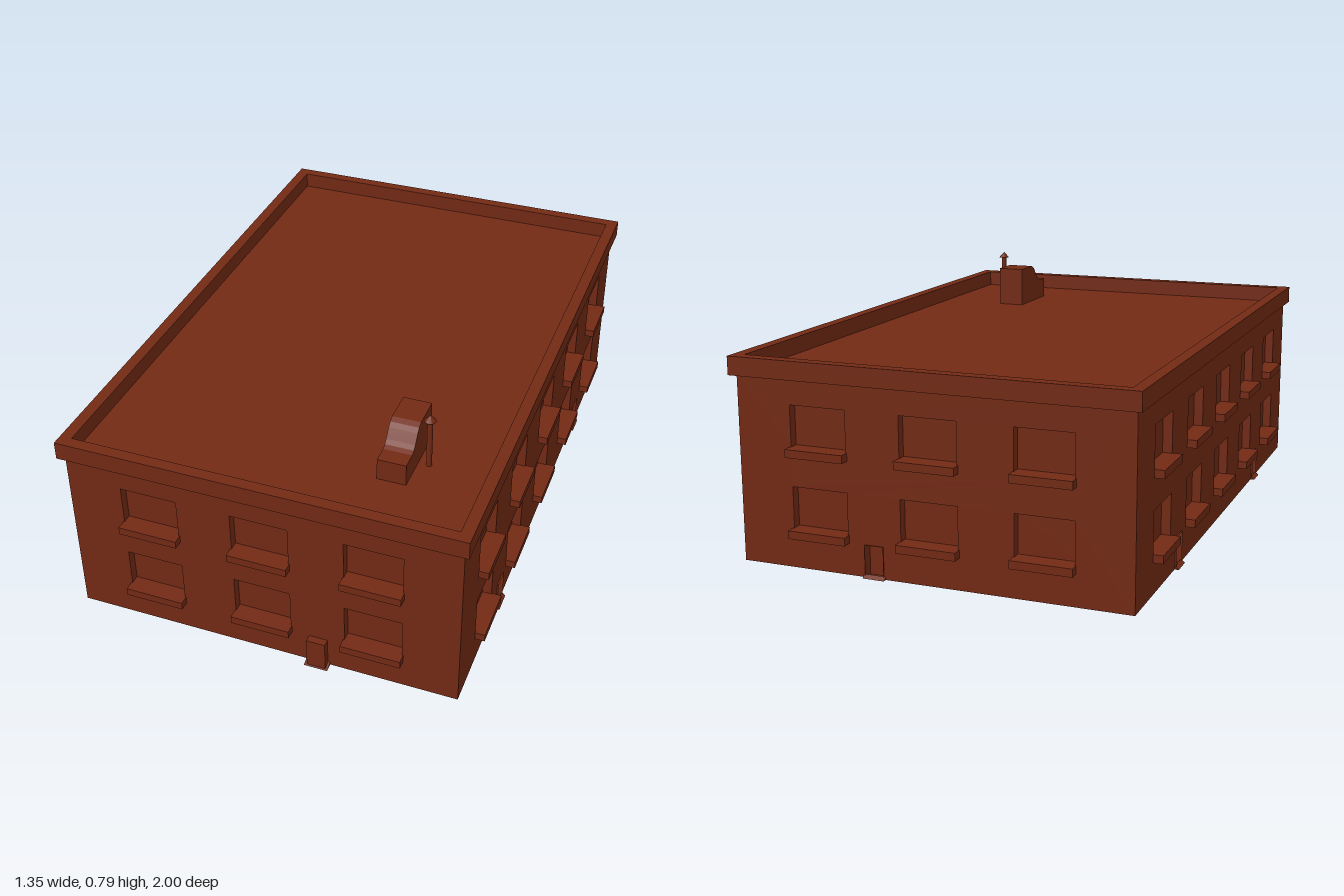
import * as THREE from 'three';

const material = new THREE.MeshStandardMaterial({ color: 0x732a15, side: THREE.DoubleSide, flatShading: true });

const HALF_X = 0.643, HALF_Z = 0.966, ROOF_Y = 0.605;
const WINDOW_ROWS = [{ bottom: 0.128, top: 0.261 }, { bottom: 0.387, top: 0.519 }];
const SILL_HEIGHT = 0.026, SILL_DEPTH = 0.032, RECESS = 0.03;
const DOOR_WIDTH = 0.062, DOOR_HEIGHT = 0.104;

function add(parent, name, geometry, x = 0, y = 0, z = 0) {
  const mesh = new THREE.Mesh(geometry, material);
  mesh.name = name;
  mesh.position.set(x, y, z);
  parent.add(mesh);
  return mesh;
}

// Rectangle outline, usable as a shape or a hole
function rect(PathType, x0, y0, x1, y1) {
  const p = new PathType();
  p.moveTo(x0, y0);
  p.lineTo(x1, y0);
  p.lineTo(x1, y1);
  p.lineTo(x0, y1);
  p.closePath();
  return p;
}

// Box whose outward (+z) face is left open
function openBox(w, h, d) {
  const geometry = new THREE.BoxGeometry(w, h, d);
  const index = Array.from(geometry.index.array);
  index.splice(24, 6);
  geometry.setIndex(index);
  geometry.clearGroups();
  return geometry;
}

// Wedge threshold sloping down and away from the wall
function rampGeometry(width, depth, height) {
  const shape = new THREE.Shape();
  shape.moveTo(0, 0);
  shape.lineTo(depth, 0);
  shape.lineTo(0, height);
  shape.closePath();
  const geometry = new THREE.ExtrudeGeometry(shape, { depth: width, bevelEnabled: false });
  geometry.rotateY(-Math.PI / 2);
  geometry.translate(width / 2, 0, 0);
  return geometry;
}

// One facade in its own frame: x along the wall, +z outward
function buildWall(name, halfWidth, centres, windowWidth, doors, porch = false) {
  const wall = new THREE.Group();
  wall.name = name;

  // Wall outline, notched where recessed doors reach the ground
  const outline = new THREE.Shape();
  outline.moveTo(-halfWidth, 0);
  if (!porch) {
    for (const x of doors) {
      outline.lineTo(x - DOOR_WIDTH / 2, 0);
      outline.lineTo(x - DOOR_WIDTH / 2, DOOR_HEIGHT);
      outline.lineTo(x + DOOR_WIDTH / 2, DOOR_HEIGHT);
      outline.lineTo(x + DOOR_WIDTH / 2, 0);
    }
  }
  outline.lineTo(halfWidth, 0);
  outline.lineTo(halfWidth, ROOF_Y);
  outline.lineTo(-halfWidth, ROOF_Y);
  outline.closePath();

  // Windows: hole, recessed pane with reveals, and projecting sill
  for (const { bottom, top } of WINDOW_ROWS) {
    for (const x of centres) {
      outline.holes.push(rect(THREE.Path, x - windowWidth / 2, bottom, x + windowWidth / 2, top));
      add(wall, 'windowRecess', openBox(windowWidth, top - bottom, RECESS), x, (bottom + top) / 2, -RECESS / 2);
      add(wall, 'windowSill', new THREE.BoxGeometry(windowWidth + 0.008, SILL_HEIGHT, SILL_DEPTH),
        x, bottom - SILL_HEIGHT / 2, SILL_DEPTH / 2);
    }
  }
  add(wall, 'wallFace', new THREE.ShapeGeometry(outline));

  // Doors: either a projecting porch or a recess with a thin surround
  for (const x of doors) {
    if (porch) {
      add(wall, 'porch', new THREE.BoxGeometry(DOOR_WIDTH, DOOR_HEIGHT, 0.034), x, DOOR_HEIGHT / 2, 0.007);
      add(wall, 'threshold', rampGeometry(DOOR_WIDTH + 0.016, 0.03, 0.01), x, 0, 0);
    } else {
      const depth = RECESS + 0.005;
      add(wall, 'doorRecess', openBox(DOOR_WIDTH, DOOR_HEIGHT, depth), x, DOOR_HEIGHT / 2, 0.005 - depth / 2);
      add(wall, 'threshold', rampGeometry(DOOR_WIDTH + 0.01, 0.014, 0.01), x, 0, 0);
    }
  }
  return wall;
}

export function createModel() {
  const building = new THREE.Group();
  building.name = 'building';

  // Four facades
  const endCentres = [-0.367, 0, 0.367];
  const sideCentres = [-0.706, -0.353, 0, 0.353, 0.706];
  const front = buildWall('frontWall', HALF_X, endCentres, 0.188, [0.185], true);
  front.position.z = HALF_Z;
  const back = buildWall('backWall', HALF_X, endCentres, 0.188, [-0.185]);
  back.position.z = -HALF_Z;
  back.rotation.y = Math.PI;
  const left = buildWall('leftWall', HALF_Z, sideCentres, 0.179, [-0.512, 0.527]);
  left.position.x = HALF_X;
  left.rotation.y = Math.PI / 2;
  const right = buildWall('rightWall', HALF_Z, sideCentres, 0.179, [-0.527, 0.512]);
  right.position.x = -HALF_X;
  right.rotation.y = -Math.PI / 2;
  building.add(front, back, left, right);

  // Flat roof, also seen from below as the ceiling
  const roof = new THREE.PlaneGeometry(HALF_X * 2, HALF_Z * 2).rotateX(-Math.PI / 2);
  add(building, 'roof', roof, 0, ROOF_Y, 0);

  // Overhanging parapet ring
  const ring = rect(THREE.Shape, -0.661, -0.987, 0.661, 0.987);
  ring.holes.push(rect(THREE.Path, -0.622, -0.948, 0.622, 0.948));
  const parapet = new THREE.ExtrudeGeometry(ring, { depth: 0.06, bevelEnabled: false }).rotateX(-Math.PI / 2);
  add(building, 'parapet', parapet, 0, 0.6, 0);

  // Roof ventilation hood: side profile (z, y) swept across x
  const hood = new THREE.Shape();
  hood.moveTo(0.505, ROOF_Y);
  hood.lineTo(0.745, ROOF_Y);
  hood.lineTo(0.745, 0.678);
  hood.lineTo(0.69, 0.678);
  hood.bezierCurveTo(0.655, 0.685, 0.65, 0.735, 0.61, 0.745);
  hood.lineTo(0.505, 0.745);
  hood.closePath();
  const hoodGeometry = new THREE.ExtrudeGeometry(hood, { depth: 0.093, bevelEnabled: false, curveSegments: 6 });
  hoodGeometry.rotateY(-Math.PI / 2);
  add(building, 'ventHood', hoodGeometry, 0.39, 0, 0);

  // Vent pipe with conical cap
  add(building, 'ventPipe', new THREE.CylinderGeometry(0.009, 0.009, 0.17, 12), 0.424, ROOF_Y + 0.085, 0.628);
  add(building, 'ventCap', new THREE.ConeGeometry(0.019, 0.021, 12), 0.424, 0.783, 0.628);

  return building;
}
